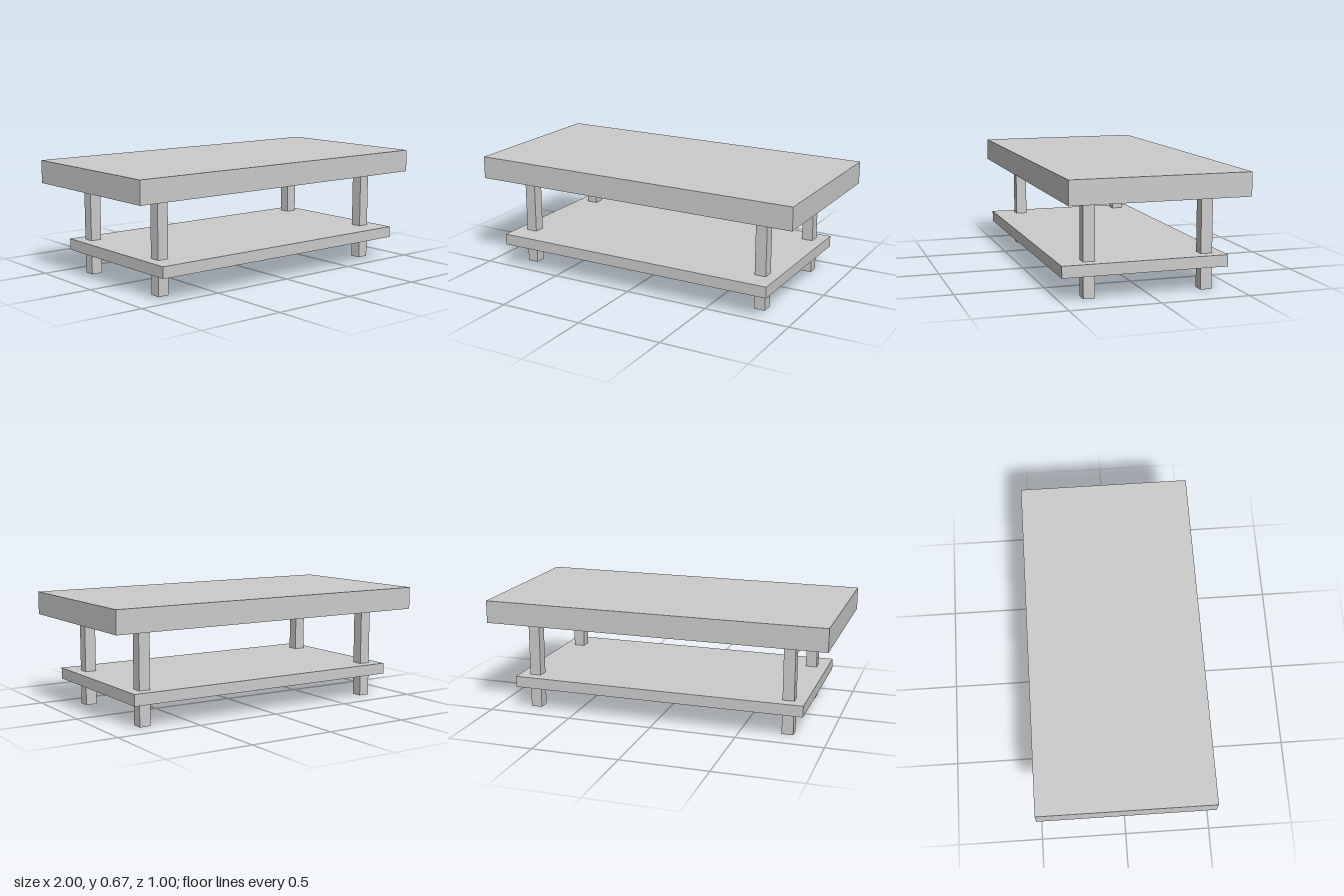
import * as THREE from 'three';

export function createModel() {
  const table = new THREE.Group();
  table.name = 'coffeeTable';
  const material = new THREE.MeshStandardMaterial({ color: 0xcccccc, flatShading: true });

  // Adds a box spanning the given [min, max] ranges
  const addBox = (name, [x0, x1], [y0, y1], [z0, z1]) => {
    const mesh = new THREE.Mesh(new THREE.BoxGeometry(x1 - x0, y1 - y0, z1 - z0), material);
    mesh.position.set((x0 + x1) / 2, (y0 + y1) / 2, (z0 + z1) / 2);
    mesh.name = name;
    table.add(mesh);
  };

  // Thick top
  addBox('tableTop', [-1, 1], [0.535, 0.667], [-0.5, 0.5]);

  // Lower shelf, reaching further to the front than to the back
  addBox('shelf', [-0.864, 0.864], [0.135, 0.2], [-0.432, 0.5]);

  // Four square legs passing through the shelf
  const legSize = 0.066, legX = 0.767, legZ = 0.333, h = legSize / 2;
  for (const [side, sx] of [['Left', 1], ['Right', -1]]) {
    for (const [end, sz] of [['front', 1], ['back', -1]]) {
      const x = sx * legX, z = sz * legZ;
      addBox(`${end}${side}Leg`, [x - h, x + h], [0, 0.535], [z - h, z + h]);
    }
  }

  return table;
}
